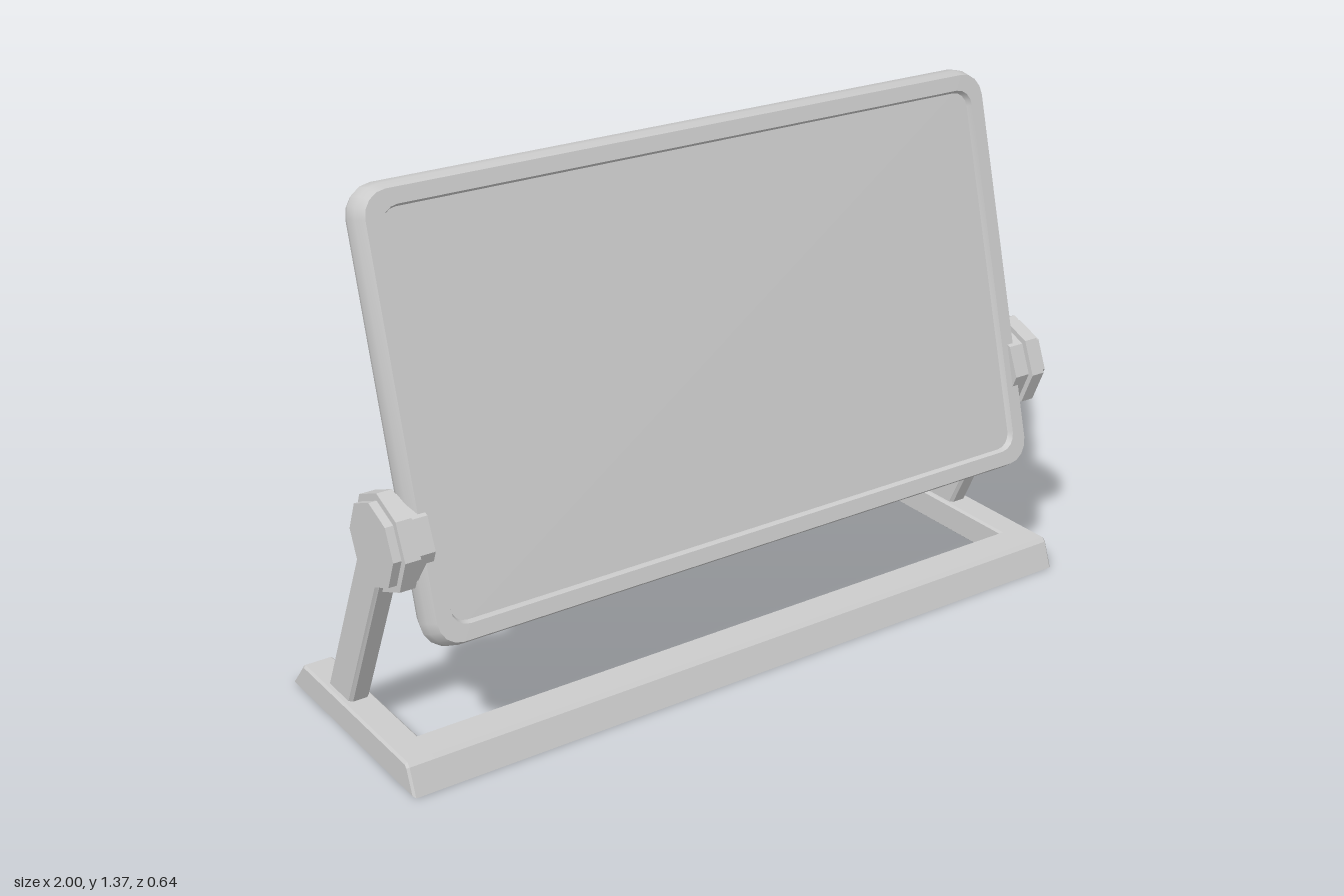
import * as THREE from 'three';
import { toCreasedNormals } from 'three/addons/utils/BufferGeometryUtils.js';

const material = new THREE.MeshStandardMaterial({ color: 0xcccccc });

function addMesh(parent, name, geometry) {
  const mesh = new THREE.Mesh(geometry, material);
  mesh.name = name;
  parent.add(mesh);
  return mesh;
}

// Extrudes a side profile of [z, y] points from x0 to x1, with a small chamfer.
function extrudeAlongX(profile, x0, x1, bevel) {
  const shape = new THREE.Shape(profile.map(([z, y]) => new THREE.Vector2(-z, y)));
  const geometry = new THREE.ExtrudeGeometry(shape, {
    depth: x1 - x0 - 2 * bevel,
    bevelEnabled: bevel > 0,
    bevelThickness: bevel,
    bevelSize: bevel,
    bevelOffset: -bevel,
    bevelSegments: 1,
  });
  geometry.rotateY(Math.PI / 2);
  geometry.translate(x0 + bevel, 0, 0);
  return geometry;
}

// Outline of a rounded rectangle, counter-clockwise, four steps per corner.
function roundedOutline(halfW, halfH, radius) {
  const points = [];
  const signs = [[1, 1], [-1, 1], [-1, -1], [1, -1]];
  signs.forEach(([sx, sy], corner) => {
    for (let i = 0; i <= 4; i++) {
      const a = (corner + i / 4) * Math.PI / 2;
      points.push([
        sx * (halfW - radius) + radius * Math.cos(a),
        sy * (halfH - radius) + radius * Math.sin(a),
      ]);
    }
  });
  return points;
}

// Panel shell: rounded outlines joined from the back to the recessed screen.
function panelGeometry() {
  const rings = [ // inset, z, corner radius
    [0.055, -0.13, 0.04],
    [0.032, -0.12, 0.05],
    [0.014, -0.1, 0.06],
    [0, -0.06, 0.07],
    [0.004, -0.03, 0.07],
    [0.016, 0, 0.06],
    [0.054, 0, 0.045],
    [0.06, -0.015, 0.04],
  ];
  const positions = [];
  const index = [];
  let n = 0;
  for (const [inset, z, radius] of rings) {
    const outline = roundedOutline(0.915 - inset, 0.54 - inset, radius);
    n = outline.length;
    for (const [x, y] of outline) positions.push(x, y, z);
  }
  for (let r = 0; r < rings.length - 1; r++) {
    for (let i = 0; i < n; i++) {
      const a = r * n + i;
      const b = r * n + (i + 1) % n;
      index.push(a, b, b + n, a, b + n, a + n);
    }
  }
  // Back and screen caps
  const back = positions.length / 3;
  positions.push(0, 0, rings[0][1], 0, 0, rings[rings.length - 1][1]);
  const last = (rings.length - 1) * n;
  for (let i = 0; i < n; i++) {
    const j = (i + 1) % n;
    index.push(back, j, i, back + 1, last + i, last + j);
  }
  const geometry = new THREE.BufferGeometry();
  geometry.setAttribute('position', new THREE.Float32BufferAttribute(positions, 3));
  geometry.setIndex(index);
  return toCreasedNormals(geometry, 0.62);
}

// Eight-sided disc with its axis along x.
function disc(radius, x0, x1) {
  const geometry = new THREE.CylinderGeometry(radius, radius, x1 - x0, 8);
  geometry.rotateZ(Math.PI / 2);
  geometry.translate((x0 + x1) / 2, 0.58, 0.15);
  return toCreasedNormals(geometry, 0.3);
}

export function createModel() {
  const model = new THREE.Group();
  model.name = 'tiltingPanelOnStand';

  // Tilted panel
  const panel = addMesh(model, 'panel', panelGeometry());
  panel.position.set(0, 0.86, 0.165);
  panel.rotation.x = -Math.PI / 12;

  // Front bar of the base, sloped on both sides
  const barProfile = [[0.32, 0], [0.295, 0.07], [0.285, 0.08], [0.2, 0.08], [0.14, 0]];
  addMesh(model, 'frontBar', extrudeAlongX(barProfile, -0.93, 0.93, 0));

  const footProfile = [[0.32, 0], [0.295, 0.07], [0.285, 0.08], [-0.25, 0.08], [-0.26, 0.073], [-0.32, 0]];
  const armProfile = [[0.208, 0.58], [0.092, 0.58], [-0.16, 0.04], [-0.044, 0.04]];

  // Foot, arm and hinge on each side
  for (const [side, sign] of [['left', 1], ['right', -1]]) {
    const support = new THREE.Group();
    support.name = side + 'Support';
    const span = (a, b) => (sign > 0 ? [a, b] : [-b, -a]);
    addMesh(support, side + 'Foot', extrudeAlongX(footProfile, ...span(0.918, 1), 0.006));
    addMesh(support, side + 'Arm', extrudeAlongX(armProfile, ...span(0.93, 0.984), 0.008));
    addMesh(support, side + 'HingeInner', disc(0.11, ...span(0.88, 0.93)));
    addMesh(support, side + 'HingeRing', disc(0.125, ...span(0.925, 0.965)));
    addMesh(support, side + 'HingeCap', disc(0.107, ...span(0.96, 0.986)));
    model.add(support);
  }
  return model;
}
